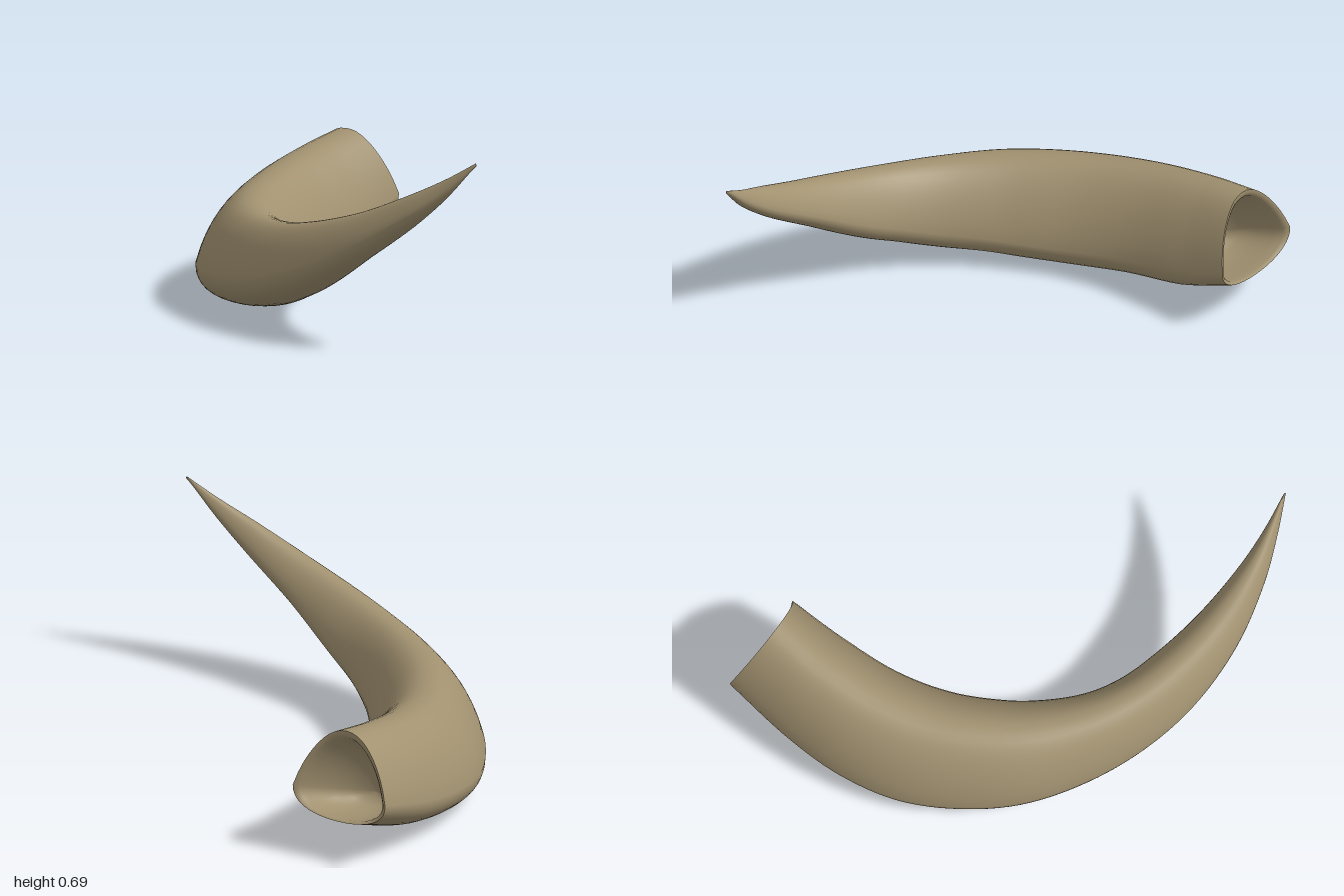
import * as THREE from 'three';

// Stations from base to tip: outer x, outer z, inner x, inner z, bottom y, top y
const stations = [
  [0.16, -1.0, 0.42, -0.73, 0.15, 0.47],
  [-0.05, -0.83, 0.28, -0.58, 0.06, 0.44],
  [-0.2, -0.68, 0.13, -0.41, 0.022, 0.405],
  [-0.32, -0.5, 0.03, -0.24, 0.0, 0.38],
  [-0.39, -0.3, -0.03, -0.08, 0.003, 0.37],
  [-0.42, -0.08, -0.06, 0.04, 0.02, 0.365],
  [-0.39, 0.16, -0.075, 0.2, 0.05, 0.365],
  [-0.32, 0.38, -0.06, 0.33, 0.1, 0.38],
  [-0.22, 0.57, -0.01, 0.47, 0.175, 0.415],
  [-0.07, 0.75, 0.07, 0.64, 0.3, 0.475],
  [0.1, 0.88, 0.18, 0.81, 0.44, 0.56],
  [0.23, 0.95, 0.26, 0.91, 0.555, 0.625],
  [0.34, 1.0, 0.335, 0.99, 0.68, 0.69],
];
const last = stations.length - 1;
const SIDES = 40;

// Guide curves: outer side carries the bottom height, inner side the top height
const outerCurve = new THREE.CatmullRomCurve3(stations.map(s => new THREE.Vector3(s[0], s[4], s[1])));
const innerCurve = new THREE.CatmullRomCurve3(stations.map(s => new THREE.Vector3(s[2], s[5], s[3])));

// One cross-section: widest low down, sides tapering up to a rounded top
function section(p, scale) {
  const o = outerCurve.getPoint(p / last);
  const n = innerCurve.getPoint(p / last);
  const height = n.y - o.y;
  const low = 0.31 + 0.12 * Math.pow(p / last, 2);
  const lean = Math.max(0, 1 - p);
  const points = [];
  for (let j = 0; j < SIDES; j++) {
    const t = (j / SIDES) * Math.PI * 2;
    const c = Math.cos(t), s = Math.sin(t);
    const rise = Math.sign(s) * Math.pow(Math.abs(s), 0.85);
    const side = Math.sign(c) * Math.pow(Math.abs(c), 0.9);
    const u = side * (1 - 0.33 * Math.max(0, rise)) * scale;
    const v = rise * scale;
    const back = lean * Math.max(0, v);
    points.push(
      (o.x + n.x) / 2 + (u * (o.x - n.x)) / 2 - 0.04 * back,
      o.y + height * low + v * height * (v > 0 ? 1 - low : low),
      (o.z + n.z) / 2 + (u * (o.z - n.z)) / 2 + 0.045 * back,
    );
  }
  return points;
}

// Skin a list of rings; inward turns the faces toward the axis
function loft(rings, inward) {
  const index = [];
  for (let i = 0; i < rings.length - 1; i++) {
    for (let j = 0; j < SIDES; j++) {
      const k = (j + 1) % SIDES;
      const a = i * SIDES + j, b = i * SIDES + k;
      const c = a + SIDES, d = b + SIDES;
      if (inward) index.push(a, b, c, b, d, c);
      else index.push(a, c, b, b, c, d);
    }
  }
  const geometry = new THREE.BufferGeometry();
  geometry.setAttribute('position', new THREE.Float32BufferAttribute(rings.flat(), 3));
  geometry.setIndex(index);
  geometry.computeVertexNormals();
  return geometry;
}

export function createModel() {
  const group = new THREE.Group();
  group.name = 'horn';
  const hornMaterial = new THREE.MeshStandardMaterial({ color: 0xa19170 });
  hornMaterial.name = 'horn tan';

  // Curved, tapering outer shell, closed to a point at the tip
  const rings = [];
  const steps = 72;
  for (let i = 0; i <= steps; i++) rings.push(section((i / steps) * last, 1));
  rings.push(section(last, 0.001));
  const shell = new THREE.Mesh(loft(rings, false), hornMaterial);
  shell.name = 'hornShell';

  // Rounded lip and hollow narrowing into the base
  const hollow = [
    [0, 1], [0.01, 0.95], [0.06, 0.89], [0.2, 0.83], [0.45, 0.74],
    [0.7, 0.61], [0.9, 0.43], [1.0, 0.22], [1.03, 0.001],
  ];
  const cavity = new THREE.Mesh(loft(hollow.map(([p, s]) => section(p, s)), true), hornMaterial);
  cavity.name = 'baseCavity';

  group.add(shell, cavity);
  return group;
}
